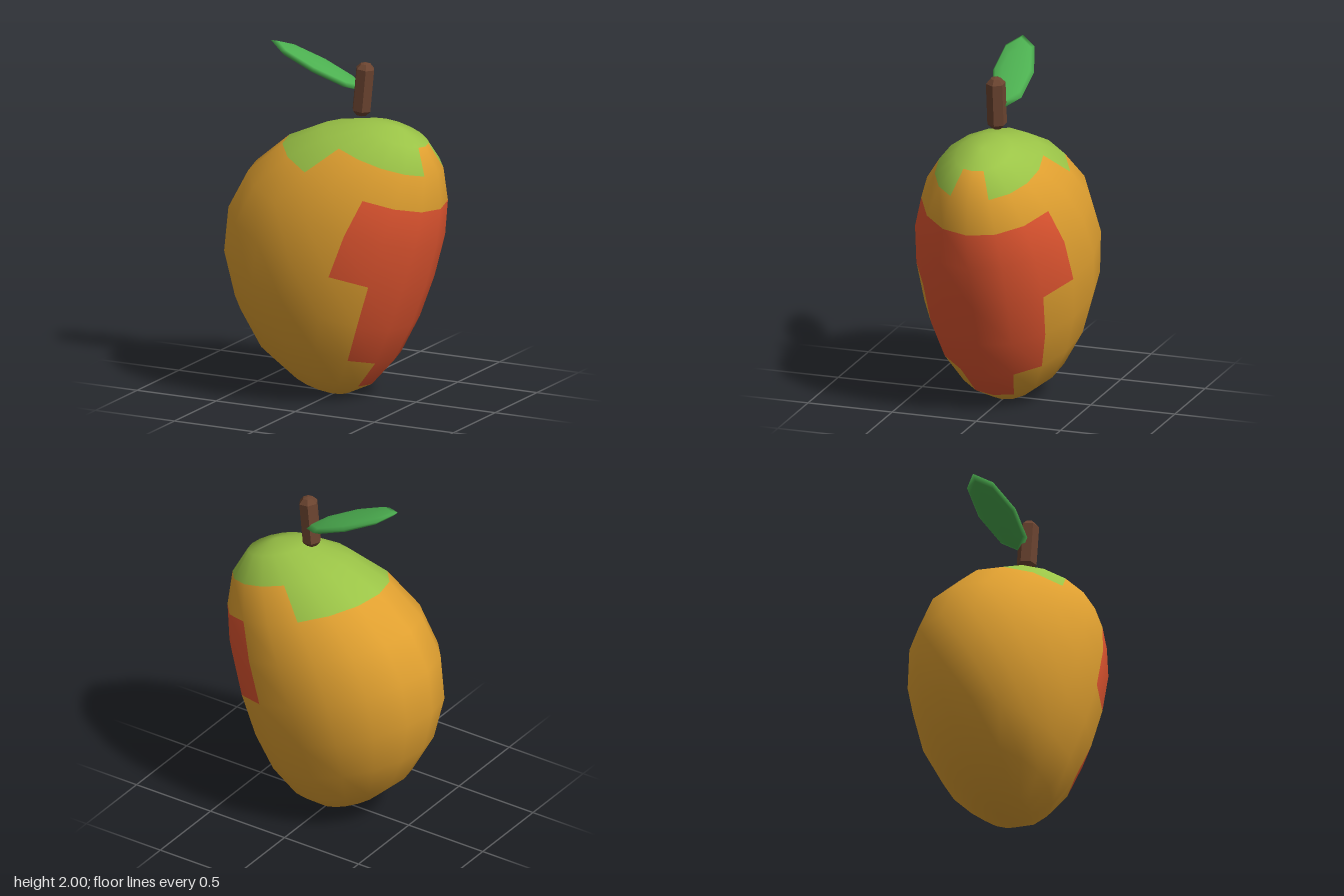
import * as THREE from 'three';

const mat = (name, color, extra = {}) => {
  const m = new THREE.MeshStandardMaterial({ color, ...extra });
  m.name = name;
  return m;
};

// Tilted rings from the upper pole to the lower pole: left x, y and right x, y
const RINGS = [
  [0.40, 1.58, 0.40, 1.58],
  [0.20, 1.605, 0.56, 1.49],
  [-0.06, 1.56, 0.64, 1.34],
  [-0.30, 1.455, 0.655, 1.14],
  [-0.51, 1.28, 0.63, 0.93],
  [-0.63, 1.06, 0.56, 0.68],
  [-0.66, 0.80, 0.47, 0.44],
  [-0.60, 0.54, 0.36, 0.23],
  [-0.47, 0.30, 0.22, 0.075],
  [-0.29, 0.13, 0.07, 0.005],
  [-0.10, 0.02, -0.10, 0.02],
];
const SIDES = 16;
const HALF_DEPTH = 0.505;
const BLUSH = { 3: 3, 4: 3, 5: 2, 6: 2, 7: 1 }; // blush half-width per band, in segments

// Skin colour of one patch: 0 orange, 1 green, 2 red
function patchColour(band, seg) {
  const away = Math.min(seg, SIDES - 1 - seg); // segments away from the +x side
  if (band === 0 || (band === 1 && away >= 1) || (band === 2 && away >= 5)) return 1;
  return away < (BLUSH[band] ?? 0) ? 2 : 0;
}

function fruitGeometry() {
  const pos = [];
  const last = RINGS.length - 1;
  RINGS.forEach(([lx, ly, rx, ry], k) => {
    const depth = HALF_DEPTH * Math.sin((Math.PI * k) / last);
    for (let j = 0; j < SIDES; j++) {
      const t = (2 * Math.PI * j) / SIDES;
      const f = (1 + Math.cos(t)) / 2;
      pos.push(lx + (rx - lx) * f, ly + (ry - ly) * f, depth * Math.sin(t));
    }
  });
  // Each pole uses one shared vertex so its shading stays smooth
  const id = (k, j) => k * SIDES + (k === 0 || k === last ? 0 : j % SIDES);
  const faces = [[], [], []];
  for (let k = 0; k < last; k++) {
    for (let j = 0; j < SIDES; j++) {
      const a = id(k, j), b = id(k, j + 1), c = id(k + 1, j), d = id(k + 1, j + 1);
      const list = faces[patchColour(k, j)];
      if (k > 0) list.push(a, b, c);
      if (k < last - 1) list.push(b, d, c);
      else continue;
      if (k === 0) continue;
    }
  }
  const geo = new THREE.BufferGeometry();
  geo.setAttribute('position', new THREE.Float32BufferAttribute(pos, 3));
  geo.setIndex(faces.flat());
  let start = 0;
  faces.forEach((list, i) => {
    geo.addGroup(start, list.length, i);
    start += list.length;
  });
  geo.computeVertexNormals();
  return geo;
}

export function createModel() {
  const group = new THREE.Group();
  const add = (name, geo, material) => {
    const mesh = new THREE.Mesh(geo, material);
    mesh.name = name;
    group.add(mesh);
    return mesh;
  };

  // Fruit body with green shoulder and red blush
  add('fruit', fruitGeometry(), [
    mat('orangeSkin', 0xe0a030),
    mat('greenSkin', 0x9bc447),
    mat('redBlush', 0xe05530),
  ]);

  // Six-sided stem with bevelled ends, leaning slightly
  const profile = [[0, -0.157], [0.03, -0.15], [0.056, -0.122], [0.056, 0.122], [0.03, 0.15], [0, 0.157]]
    .map(([x, y]) => new THREE.Vector2(x, y));
  const stem = add('stem', new THREE.LatheGeometry(profile, 6, Math.PI / 6),
    mat('stemBrown', 0x6b4430, { flatShading: true }));
  stem.position.set(0.167, 1.773, 0);
  stem.rotation.z = -0.1;

  // Leaf: flattened eight-sided ellipsoid, slanting up from the stem
  const leafGeo = new THREE.SphereGeometry(1, 8, 6);
  leafGeo.applyMatrix4(new THREE.Matrix4().makeBasis(
    new THREE.Vector3(-0.28, 0.125, 0.045),
    new THREE.Vector3(0.013, 0.03, 0.003),
    new THREE.Vector3(-0.02, 0, -0.115),
  ).setPosition(-0.115, 1.875, 0));
  add('leaf', leafGeo, mat('leafGreen', 0x4caf50));

  return group;
}
